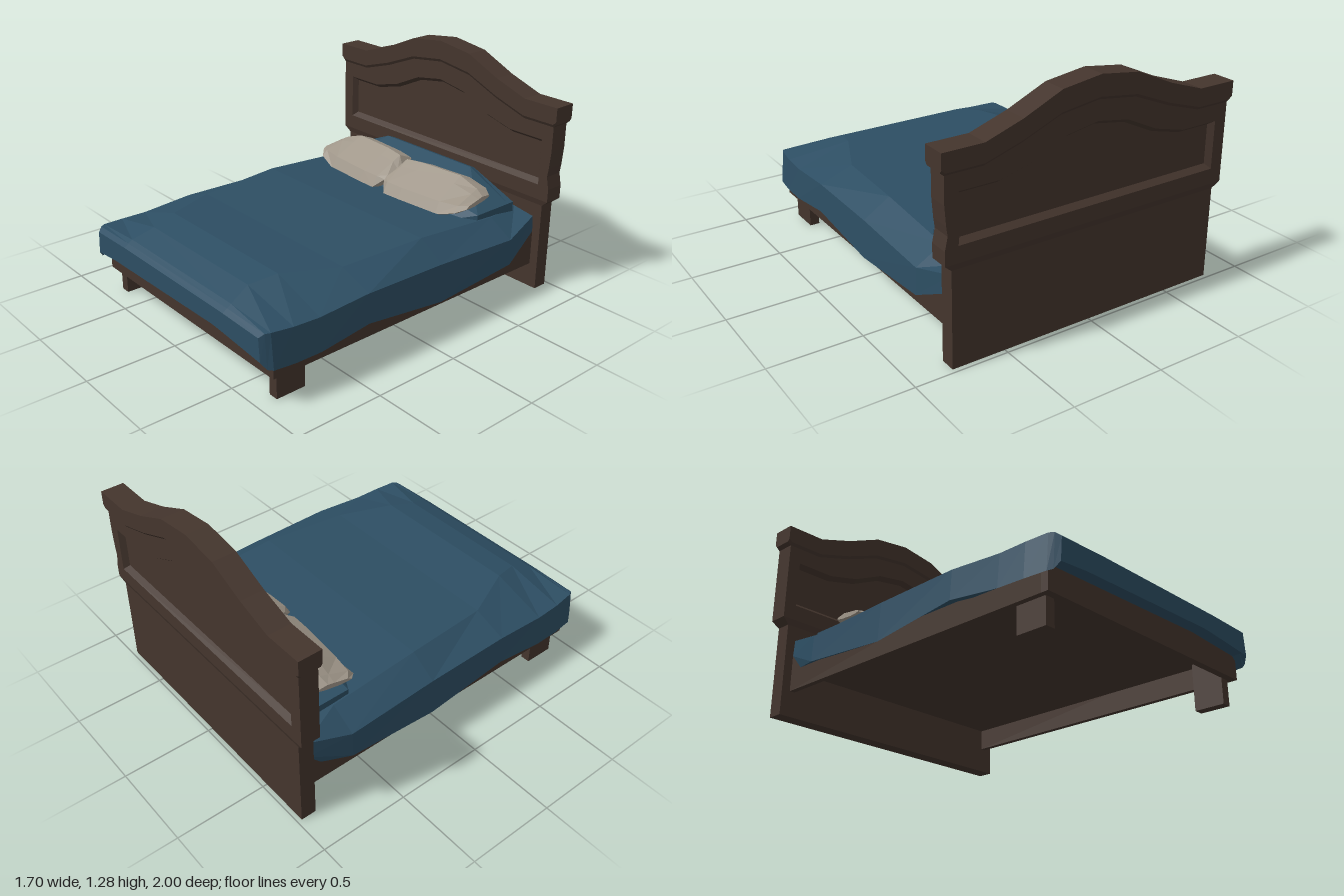
import * as THREE from 'three';

const wood = new THREE.MeshStandardMaterial({ color: 0x44352d });
const blanketBlue = new THREE.MeshStandardMaterial({ color: 0x2d4e63 });
const pillowLinen = new THREE.MeshStandardMaterial({ color: 0xa0978a });
wood.name = 'wood';
blanketBlue.name = 'blanketBlue';
pillowLinen.name = 'pillowLinen';

// Faceted skin over rings of [x, y, z] points; closed solids are turned outward by their volume
function loft(rings, capped = true) {
  const tris = [];
  const n = rings[0].length;
  for (let r = 0; r < rings.length - 1; r++) {
    for (let i = 0; i < n; i++) {
      const j = (i + 1) % n;
      const a = rings[r], b = rings[r + 1];
      tris.push([a[i], a[j], b[j]], [a[i], b[j], b[i]]);
    }
  }
  if (capped) {
    const cap = (ring, flip) => {
      const c = [0, 1, 2].map(k => ring.reduce((s, p) => s + p[k], 0) / n);
      ring.forEach((p, i) => {
        const q = ring[(i + 1) % n];
        tris.push(flip ? [c, q, p] : [c, p, q]);
      });
    };
    cap(rings[0], true);
    cap(rings[rings.length - 1], false);
    const volume = tris.reduce((s, [a, b, c]) => s +
      a[0] * (b[1] * c[2] - b[2] * c[1]) +
      a[1] * (b[2] * c[0] - b[0] * c[2]) +
      a[2] * (b[0] * c[1] - b[1] * c[0]), 0);
    if (volume < 0) tris.forEach(t => t.reverse());
  }
  const g = new THREE.BufferGeometry();
  g.setAttribute('position', new THREE.Float32BufferAttribute(tris.flat(2), 3));
  g.computeVertexNormals();
  return g;
}

function add(parent, name, geometry, material) {
  const mesh = new THREE.Mesh(geometry, material);
  mesh.name = name;
  parent.add(mesh);
  return mesh;
}

// Box given by its minimum and maximum corners
function box(parent, name, [x0, y0, z0], [x1, y1, z1]) {
  const m = add(parent, name, new THREE.BoxGeometry(x1 - x0, y1 - y0, z1 - z0), wood);
  m.position.set((x0 + x1) / 2, (y0 + y1) / 2, (z0 + z1) / 2);
}

// Mirror a half profile, starting on the centre line, into a full list along x
const mirrored = half => [...half.slice(1).reverse().map(([x, ...r]) => [-x, ...r]), ...half];

function slab(points, z0, z1, hole) {
  const toV = p => new THREE.Vector2(p[0], p[1]);
  const shape = new THREE.Shape(points.map(toV));
  if (hole) shape.holes.push(new THREE.Path(hole.map(toV)));
  const g = new THREE.ExtrudeGeometry(shape, { depth: z1 - z0, bevelEnabled: false });
  return g.translate(0, 0, z0);
}

function makeHeadboard() {
  const group = new THREE.Group();
  group.name = 'headboard';

  // Lower board and the flare to the wider upper board
  box(group, 'lowerBoard', [-0.79, 0, -0.975], [0.79, 0.515, -0.89]);
  const rect = (x, y, zb, zf) => [[-x, y, zb], [x, y, zb], [x, y, zf], [-x, y, zf]];
  add(group, 'flare', loft([rect(0.79, 0.51, -0.975, -0.89), rect(0.83, 0.545, -0.987, -0.88)]), wood);

  // Upper board with a worn left edge and an arched opening, recessed on both faces
  const frameTop = mirrored([[0, 1.17], [0.2, 1.14], [0.4, 1.055], [0.63, 0.99], [0.83, 0.99]]);
  const wornEdge = [[0.83, 0.62], [0.815, 0.69], [0.822, 0.74], [0.83, 0.84]];
  const frame = [[-0.83, 0.545], [0.83, 0.545], ...wornEdge, ...frameTop.reverse()];
  const arch = mirrored([[0, 1.05], [0.18, 1.02], [0.36, 0.935], [0.54, 0.89], [0.76, 0.89]]).reverse();
  const opening = [[-0.76, 0.63], [0.76, 0.63], ...arch];
  const inset = opening.map(([x, y], i) =>
    [Math.abs(x) > 0.7 ? x - Math.sign(x) * 0.023 : x, i < 2 ? y + 0.025 : y - 0.022]);
  const at = (pts, z) => pts.map(([x, y]) => [x, y, z]);
  add(group, 'upperFrame', slab(frame, -0.987, -0.88, opening), wood);
  add(group, 'recessedPanel', slab(inset, -0.957, -0.91), wood);
  add(group, 'frontMoulding', loft([at(opening, -0.88), at(inset, -0.91)], false), wood);
  add(group, 'backMoulding', loft([at(inset, -0.957), at(opening, -0.987)], false), wood);

  // Arched cap rail with a chamfered lower edge: [x, top, bottom]
  const cap = mirrored([[0, 1.28, 1.155], [0.22, 1.25, 1.125], [0.43, 1.157, 1.04],
    [0.63, 1.09, 0.978], [0.83, 1.09, 0.978], [0.85, 1.09, 0.995]]);
  add(group, 'capRail', loft(cap.map(([x, t, b]) => [[x, t, -0.87], [x, b + 0.016, -0.87],
    [x, b, -0.88], [x, b, -0.987], [x, b + 0.016, -1], [x, t, -1]])), wood);
  return group;
}

function makeBase() {
  const group = new THREE.Group();
  group.name = 'bedBase';
  box(group, 'frontRail', [-0.74, 0.14, 0.89], [0.74, 0.3, 0.93]);
  box(group, 'bottomPanel', [-0.71, 0.256, -0.89], [0.71, 0.263, 0.89]);
  for (const s of [-1, 1]) {
    const side = s < 0 ? 'right' : 'left';
    box(group, side + 'Rail', [s * 0.725 - 0.015, 0.14, -0.89], [s * 0.725 + 0.015, 0.345, 0.89]);
    box(group, side + 'FrontLeg', [s * 0.6825 - 0.0275, 0, 0.72], [s * 0.6825 + 0.0275, 0.26, 0.89]);
  }
  return group;
}

// Plump pillow leaning back: a tilted [z, y] profile, tapering more at its outer end
function makePillow(name, side) {
  const profile = [[0.16, -0.08], [0.125, -0.012], [0, 0.058], [-0.055, 0.09], [-0.145, 0.052],
    [-0.155, 0.012], [-0.09, -0.045], [0.05, -0.1], [0.125, -0.098]];
  const sections = [[-0.3, 0.6, 0.3], [-0.255, 0.94, 0.9], [-0.14, 1, 1], [0.13, 1, 0.98],
    [0.25, 0.92, 0.5], [0.3, 0.65, 0.2]];
  const rings = sections.map(([x, d, t]) => profile.map(([z, y]) => [side * x, y * t, z * d]));
  const pillow = new THREE.Mesh(loft(rings), pillowLinen);
  pillow.name = name;
  return pillow;
}

export function createModel() {
  const bed = new THREE.Group();
  bed.name = 'bed';
  bed.add(makeHeadboard(), makeBase());

  // Draped blanket: [z, hem x, hem y, edge x, edge y, top x, top y]
  const drape = [
    [-0.89, 0.74, 0.34, 0.735, 0.43, 0.6, 0.45],
    [-0.65, 0.79, 0.23, 0.785, 0.375, 0.64, 0.46],
    [-0.12, 0.79, 0.19, 0.78, 0.4, 0.63, 0.495],
    [0.38, 0.79, 0.25, 0.78, 0.41, 0.59, 0.48],
    [0.68, 0.79, 0.212, 0.775, 0.39, 0.46, 0.493],
    [0.83, 0.785, 0.21, 0.77, 0.395, 0.42, 0.467],
    [0.95, 0.772, 0.212, 0.755, 0.402, 0.45, 0.42],
    [0.975, 0.755, 0.218, 0.742, 0.4, 0.45, 0.405],
    [1, 0.735, 0.255, 0.725, 0.38, 0.45, 0.387]];
  add(bed, 'blanket', loft(drape.map(([z, hx, hy, ex, ey, tx, ty]) =>
    [[-0.715, 0.266, z], [-hx, hy, z], [-ex, ey, z], [-tx, ty, z],
      [tx, ty, z], [ex, ey, z], [hx, hy, z], [0.715, 0.266, z], [0.35, 0.288, z]])), blanketBlue);

  // Raised bolster behind the pillows: [z, base x, top x, top y]
  const bolster = [[-0.88, 0.53, 0.32, 0.58], [-0.84, 0.63, 0.33, 0.61],
    [-0.8, 0.63, 0.34, 0.625], [-0.55, 0.63, 0.45, 0.52], [-0.47, 0.5, 0.4, 0.47]];
  add(bed, 'bolster', loft(bolster.map(([z, bx, tx, ty]) =>
    [[-bx, 0.44, z], [-bx, Math.min(0.495, ty - 0.02), z], [-tx, ty, z],
      [tx, ty, z], [bx, Math.min(0.495, ty - 0.02), z], [bx, 0.44, z]])), blanketBlue);

  // Two pillows turned slightly apart
  for (const s of [-1, 1]) {
    const pillow = makePillow(s < 0 ? 'rightPillow' : 'leftPillow', s);
    pillow.position.set(s < 0 ? -0.305 : 0.285, 0.548, s < 0 ? -0.59 : -0.575);
    pillow.rotation.y = s * 0.09;
    bed.add(pillow);
  }
  return bed;
}
